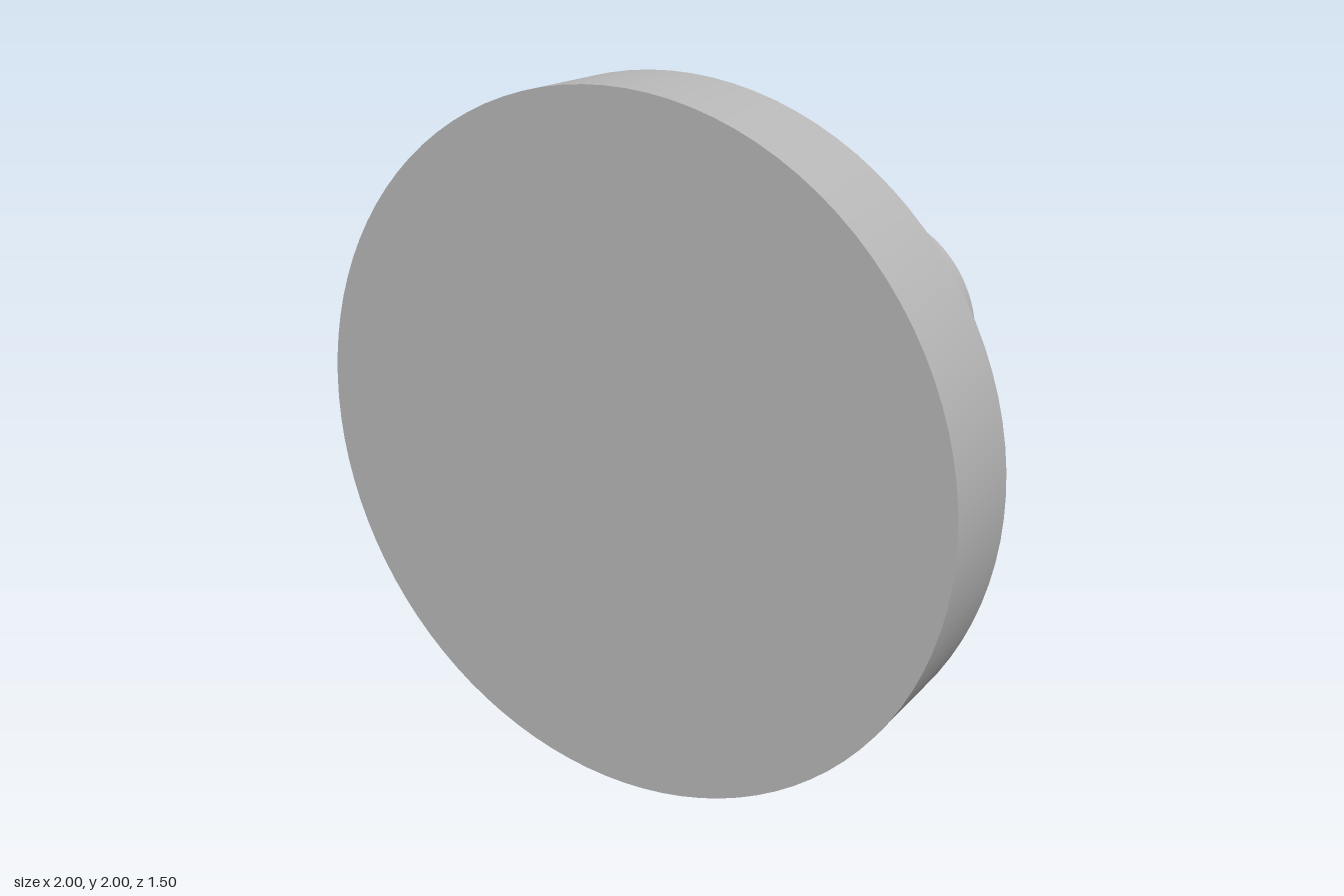
import * as THREE from 'three';
import { toCreasedNormals } from 'three/addons/utils/BufferGeometryUtils.js';

const CENTRE_Y = 1;

// Round section extruded along z, with an optional bore and smooth curved walls
function roundBar(radius, zBack, zFront, boreRadius = 0) {
  const shape = new THREE.Shape().absarc(0, 0, radius, 0, Math.PI * 2, false);
  if (boreRadius > 0) {
    shape.holes.push(new THREE.Path().absarc(0, 0, boreRadius, 0, Math.PI * 2, true));
  }
  const geometry = new THREE.ExtrudeGeometry(shape, {
    depth: zFront - zBack, bevelEnabled: false, curveSegments: 48,
  });
  geometry.translate(0, CENTRE_Y, zBack);
  return toCreasedNormals(geometry, 0.5);
}

export function createModel() {
  const group = new THREE.Group();
  group.name = 'flangedSleeve';

  const grey = new THREE.MeshStandardMaterial({ color: 0xb8b8b8 });
  grey.name = 'grey';

  const add = (name, geometry) => {
    const mesh = new THREE.Mesh(geometry, grey);
    mesh.name = name;
    group.add(mesh);
  };

  // Solid front disc
  add('flange', roundBar(1, 0.45, 0.75));

  // Hollow stem, closed at its front end by the flange
  add('sleeve', roundBar(0.4, -0.75, 0.45, 0.25));

  return group;
}
